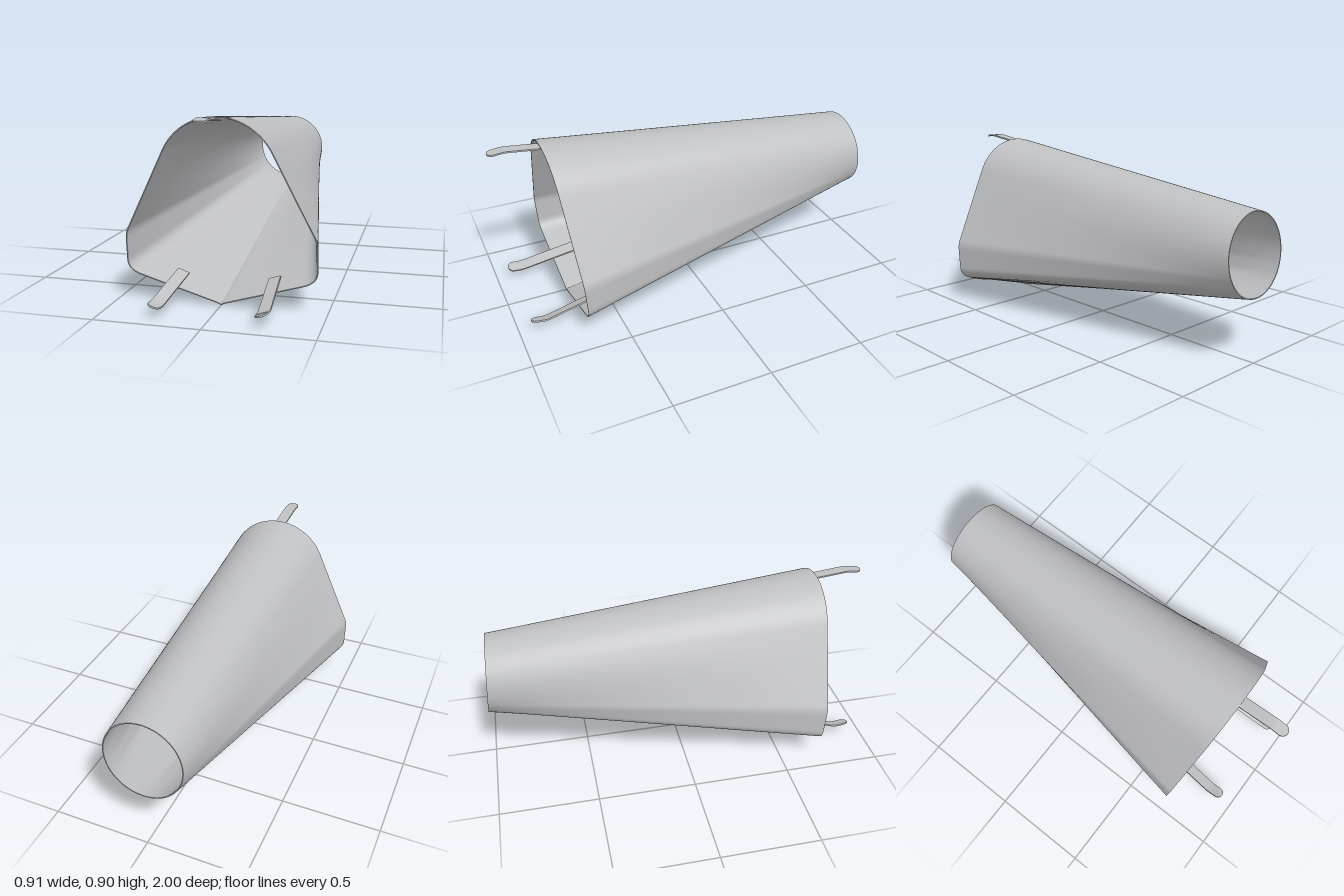
import * as THREE from 'three';

const WALL = 0.005;
const CENTRE_Y = 0.514;
const REAR_RADIUS = 0.201;

// Closed front outline, counter-clockwise from the bottom point
function frontOutline() {
  const path = new THREE.Path();
  path.moveTo(0, 0.001);
  path.quadraticCurveTo(0.008, 0.004, 0.02, 0.0095);
  path.lineTo(0.385, 0.12);
  path.quadraticCurveTo(0.455, 0.141, 0.455, 0.195);
  path.lineTo(0.455, 0.3);
  path.quadraticCurveTo(0.455, 0.327, 0.443, 0.351);
  path.lineTo(0.255, 0.727);
  path.absarc(0, 0.6, 0.285, 0.4636, Math.PI / 2, false);
  const counts = [4, 24, 12, 6, 8, 24, 24];
  const curves = path.curves.filter((c) => c.getLength() > 1e-3);
  const half = [];
  curves.forEach((curve, i) => {
    for (let k = 0; k < counts[i]; k++) half.push(curve.getPoint(k / counts[i]));
  });
  half.push(new THREE.Vector2(0, 0.885));
  const mirrored = half.slice(1, -1).reverse().map((p) => new THREE.Vector2(-p.x, p.y));
  return [...half, ...mirrored];
}

// Move an outline inward by the wall thickness
function inset(points, d) {
  const n = points.length;
  return points.map((p, i) => {
    const t = points[(i + 1) % n].clone().sub(points[(i + n - 1) % n]).normalize();
    return new THREE.Vector2(p.x - t.y * d, p.y + t.x * d);
  });
}

// Ruled skin between two closed rings of equal length
function loft(ringA, ringB, steps, flip) {
  const n = ringA.length;
  const positions = [];
  const index = [];
  for (let s = 0; s <= steps; s++) {
    ringA.forEach((a, i) => positions.push(...a.clone().lerp(ringB[i], s / steps).toArray()));
  }
  for (let s = 0; s < steps; s++) {
    for (let i = 0; i < n; i++) {
      const a = s * n + i, b = s * n + ((i + 1) % n), c = a + n, d = b + n;
      if (flip) index.push(a, c, b, b, c, d);
      else index.push(a, b, c, b, d, c);
    }
  }
  const geometry = new THREE.BufferGeometry();
  geometry.setAttribute('position', new THREE.Float32BufferAttribute(positions, 3));
  geometry.setIndex(index);
  geometry.computeVertexNormals();
  return geometry;
}

// Flat tongue running along +z, rising gently, with a curled round tip
function tongueGeometry(length, rise) {
  const r = 0.03;
  const geometry = new THREE.BoxGeometry(2 * r, 0.008, 1, 1, 1, 48);
  const pos = geometry.attributes.position;
  for (let i = 0; i < pos.count; i++) {
    const t = pos.getZ(i) + 0.5;
    // pack more sections into the round tip
    const z = t < 0.5 ? t * 2 * (length - r)
      : length - r + r * Math.sin((t - 0.5) * Math.PI);
    const over = Math.max(0, z - (length - r)) / r;
    const width = Math.sqrt(Math.max(0.0004, 1 - over * over));
    const knee = length - 0.07;
    const bend = THREE.MathUtils.smoothstep(z, knee - 0.03, length);
    const lift = rise * Math.min(z / knee, 1) - 0.008 * bend;
    pos.setXYZ(i, pos.getX(i) * width, pos.getY(i) + lift, z);
  }
  geometry.computeVertexNormals();
  return geometry;
}

export function createModel() {
  const model = new THREE.Group();
  model.name = 'funnelDuct';
  const metal = new THREE.MeshStandardMaterial({ color: 0xbfc0c2 });
  metal.name = 'greyMetal';

  const add = (name, geometry) => {
    const mesh = new THREE.Mesh(geometry, metal);
    mesh.name = name;
    model.add(mesh);
    return mesh;
  };

  // Both ends lie in slightly tilted planes
  const outline = frontOutline();
  const toFront = (p) => new THREE.Vector3(p.x, p.y, 0.685 + 0.074 * p.y);
  const rearRing = (radius) => outline.map((p) => {
    const a = Math.atan2(p.y - CENTRE_Y, p.x);
    const y = CENTRE_Y + radius * Math.sin(a);
    return new THREE.Vector3(radius * Math.cos(a), y, -1 + 0.075 * (y - 0.313));
  });
  const outerFront = outline.map(toFront);
  const innerFront = inset(outline, WALL).map(toFront);
  const outerRear = rearRing(REAR_RADIUS);
  const innerRear = rearRing(REAR_RADIUS - WALL);

  // Thin shell blending from the shield-shaped mouth to the round outlet
  add('outerWall', loft(outerFront, outerRear, 24, true));
  add('innerWall', loft(innerFront, innerRear, 24, false));
  add('frontRim', loft(outerFront, innerFront, 1, false));
  add('rearRim', loft(outerRear, innerRear, 1, true));

  // Mounting tongues: one at the top, a mirrored pair on the lower faces
  add('topTongue', tongueGeometry(0.38, 0.034)).position.set(0, 0.86, 0.62);
  for (const side of [1, -1]) {
    const tongue = add(side > 0 ? 'leftTongue' : 'rightTongue', tongueGeometry(0.38, 0.064));
    tongue.position.set(side * 0.226, 0.11, 0.555);
    tongue.rotation.z = -side * (Math.PI - 0.32);
  }
  return model;
}
